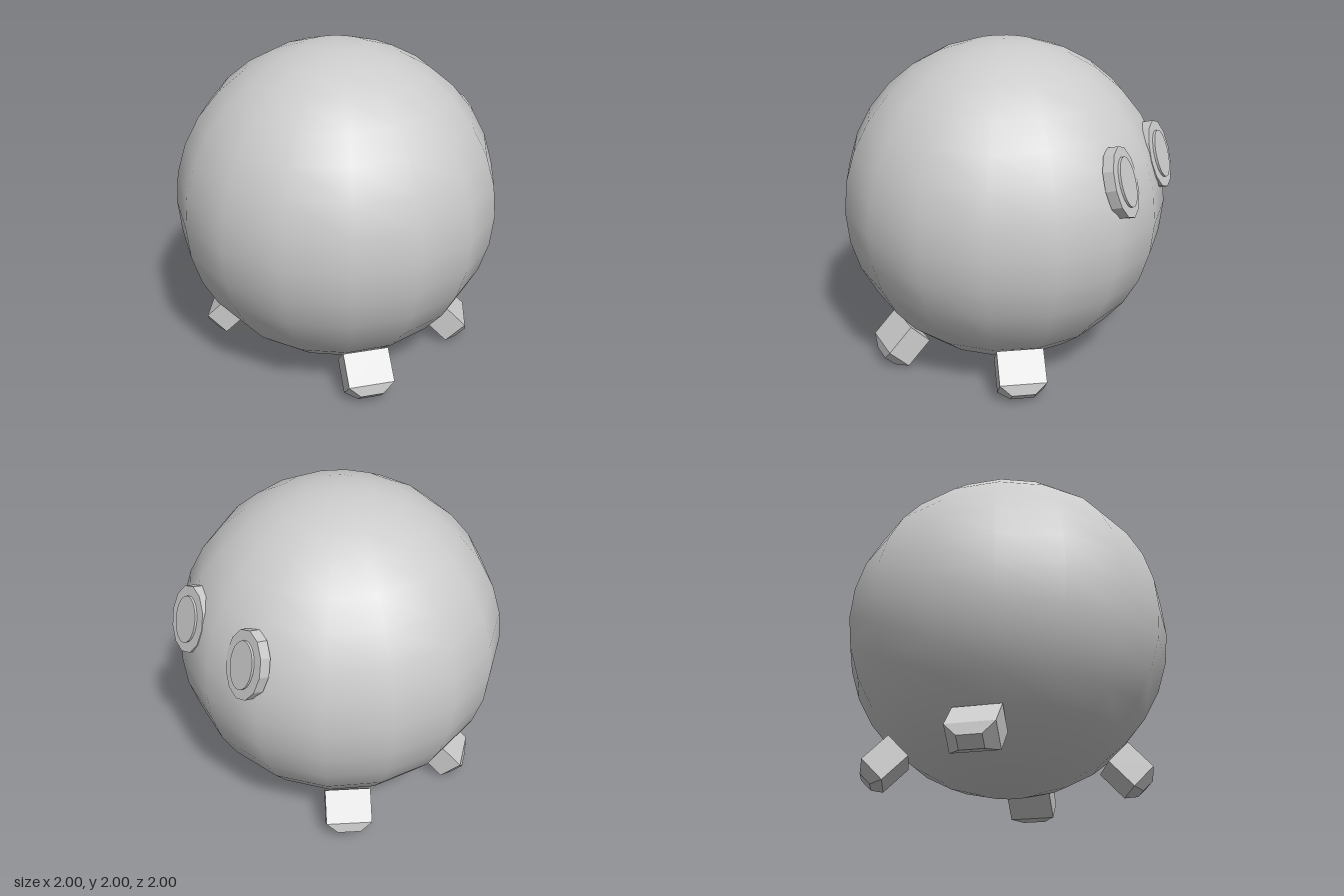
import * as THREE from 'three';

const smooth = new THREE.MeshStandardMaterial({ color: 0xcccccc });
const flat = new THREE.MeshStandardMaterial({ color: 0xcccccc, flatShading: true });

function addMesh(parent, name, geometry, material) {
  const mesh = new THREE.Mesh(geometry, material);
  mesh.name = name;
  parent.add(mesh);
  return mesh;
}

// Stubby block along +z whose outer end narrows to a small blunt tip
function legGeometry() {
  const length = 0.205, tip = 0.055;
  const geometry = new THREE.BoxGeometry(0.28, 0.171, 2, 1, 1, 2);
  const p = geometry.attributes.position;
  for (let i = 0; i < p.count; i++) {
    const z = p.getZ(i);
    const s = z > 0.5 ? 0.5 : 1;
    const depth = z < -0.5 ? 0 : z > 0.5 ? length + tip : length;
    p.setXYZ(i, p.getX(i) * s, p.getY(i) * s, depth);
  }
  return geometry;
}

// Oval disc with its front face at z = front
function ovalDisc(rx, ry, depth, front, sides) {
  return new THREE.CylinderGeometry(1, 1, depth, sides)
    .rotateX(Math.PI / 2)
    .scale(rx, ry, 1)
    .translate(0, 0, front - depth / 2);
}

export function createModel() {
  const model = new THREE.Group();
  model.name = 'roundCreature';

  // Round body
  addMesh(model, 'body', new THREE.SphereGeometry(1, 16, 16), smooth).position.y = 1;

  // Four legs, splayed outward and tilted down
  const legShape = legGeometry();
  for (const sx of [-1, 1]) {
    for (const sz of [-1, 1]) {
      const name = (sz > 0 ? 'front' : 'back') + (sx > 0 ? 'Left' : 'Right') + 'Leg';
      const leg = addMesh(model, name, legShape, flat);
      leg.position.set(sx * 0.645 * 0.81, 0.233, sz * 0.645 * 0.586);
      leg.rotation.set(Math.PI / 4, Math.atan2(sx * 0.81, sz * 0.586), 0, 'YXZ');
    }
  }

  // Two oval eyes with raised pupils, tilted slightly upward
  for (const side of [-1, 1]) {
    const eye = new THREE.Group();
    eye.name = side > 0 ? 'leftEye' : 'rightEye';
    addMesh(eye, 'eyeRim', ovalDisc(0.152, 0.208, 0.065, 0, 12), flat);
    addMesh(eye, 'pupil', ovalDisc(0.095, 0.145, 0.03, 0.014, 24), flat);
    eye.position.set(side * 0.28, 1.34, -0.915);
    eye.rotation.set(-THREE.MathUtils.degToRad(17), Math.PI, 0, 'YXZ');
    model.add(eye);
  }

  return model;
}
